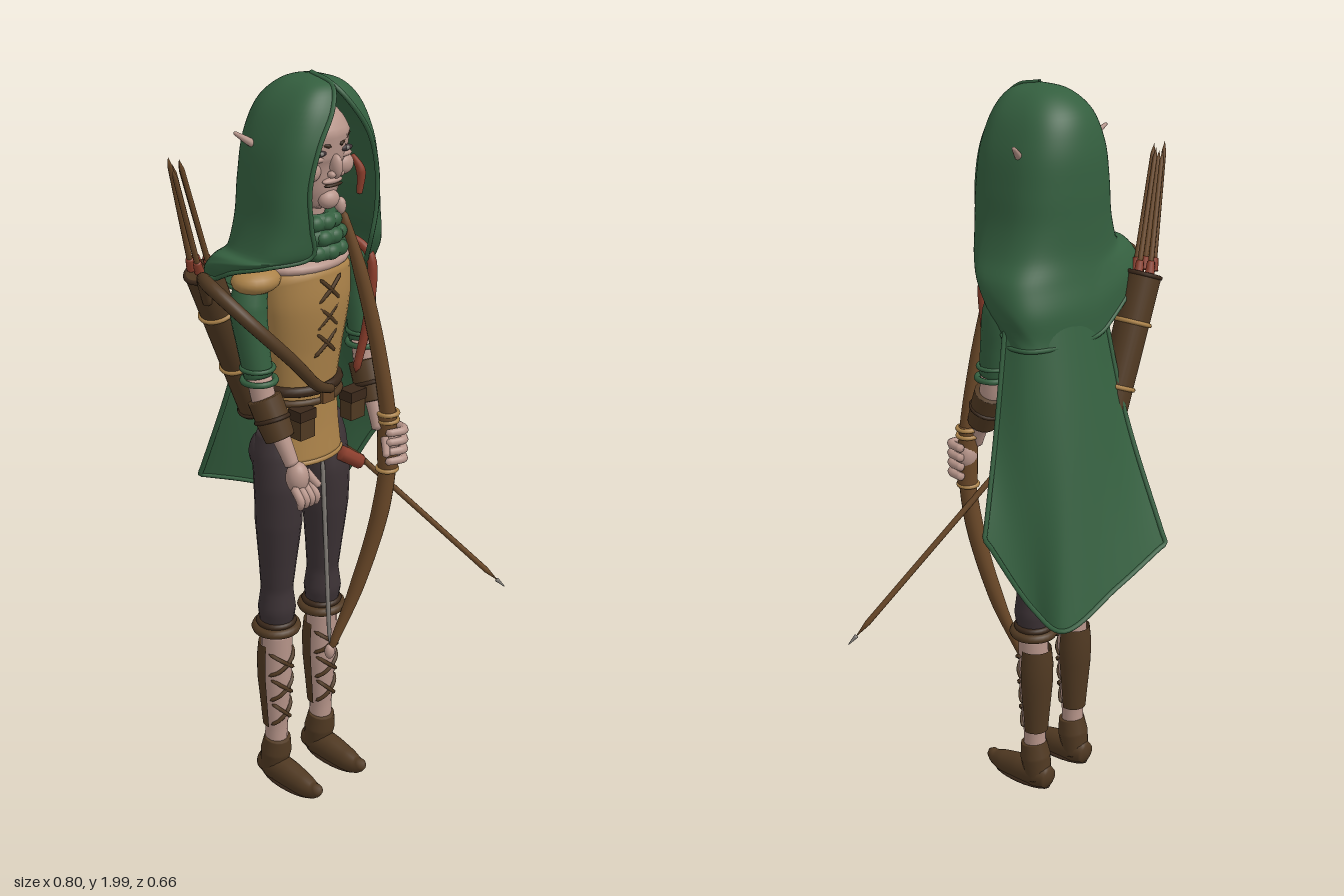
import * as THREE from 'three';
import { mergeVertices } from 'three/addons/utils/BufferGeometryUtils.js';

const CX = -0.09; // body centre line
const V = (p) => new THREE.Vector3(p[0], p[1], p[2]);
const mat = (name, color, side = THREE.FrontSide) => {
  const m = new THREE.MeshStandardMaterial({ color, side });
  m.name = name;
  return m;
};

export function createModel() {
  const root = new THREE.Group();
  root.name = 'hoodedArcher';
  const green = mat('cloakGreen', 0x345f3f, THREE.DoubleSide);
  const tan = mat('bodiceTan', 0xab8249);
  const brown = mat('leatherBrown', 0x503922, THREE.DoubleSide);
  const dark = mat('darkBrown', 0x3a281a);
  const skin = mat('skin', 0xb7958a);
  const pants = mat('trouserCharcoal', 0x3c3235);
  const red = mat('fletchingRed', 0x8a3d2b);
  const wood = mat('bowWood', 0x6a4828);
  const grey = mat('stringGrey', 0x85807a);

  const add = (name, geo, m) => {
    const mesh = new THREE.Mesh(geo, m);
    mesh.name = name;
    root.add(mesh);
    return mesh;
  };
  // tapered, closed tube through [x, y, z, radius] points, squashed by sx / sz
  const limb = (name, pts, m, { sx = 1, sz = 1, seg = 32, sides = 16 } = {}) => {
    const path = new THREE.CatmullRomCurve3(pts.map(V));
    const geo = new THREE.TubeGeometry(path, seg, 1, sides);
    const pos = geo.attributes.position, v = new THREE.Vector3();
    for (let i = 0; i <= seg; i++) {
      const c = path.getPointAt(i / seg);
      const t = path.getUtoTmapping(i / seg) * (pts.length - 1);
      const k = Math.min(Math.floor(t), pts.length - 2);
      const r = i === 0 || i === seg ? 0 : THREE.MathUtils.lerp(pts[k][3], pts[k + 1][3], t - k);
      for (let j = 0; j <= sides; j++) {
        const n = i * (sides + 1) + j;
        v.fromBufferAttribute(pos, n).sub(c).multiplyScalar(r);
        pos.setXYZ(n, c.x + v.x * sx, c.y + v.y, c.z + v.z * sz);
      }
    }
    geo.deleteAttribute('uv');
    geo.deleteAttribute('normal');
    const out = mergeVertices(geo, 1e-5);
    out.computeVertexNormals();
    return add(name, out, m);
  };
  const rod = (name, a, b, r, m, r2 = r) => limb(name, [[...a, r], [...b, r2]], m, { seg: 12, sides: 8 });
  const ball = (name, p, s, m) => {
    const mesh = add(name, new THREE.SphereGeometry(1, 20, 14), m);
    mesh.position.set(...p);
    mesh.scale.set(...s);
    return mesh;
  };
  const ring = (name, p, r, tube, m, sz = 1) => {
    const geo = new THREE.TorusGeometry(r, tube, 8, 28).rotateX(Math.PI / 2).scale(1, 1, sz);
    const mesh = add(name, geo, m);
    mesh.position.set(...p);
    return mesh;
  };
  // smooth cloth through rows of points, with a rolled hem on its open edges
  const cloth = (name, rows, nu, nv, hem) => {
    const cross = rows.map((r) => new THREE.CatmullRomCurve3(r.map(V)));
    const pos = [], idx = [], grid = [];
    for (let i = 0; i <= nu; i++) {
      const col = new THREE.CatmullRomCurve3(cross.map((c) => c.getPoint(i / nu)));
      grid.push(col.getPoints(nv));
      grid[i].forEach((p) => pos.push(p.x, p.y, p.z));
    }
    for (let i = 0; i < nu; i++) for (let j = 0; j < nv; j++) {
      const a = i * (nv + 1) + j, b = a + nv + 1;
      idx.push(a, a + 1, b, b, a + 1, b + 1);
    }
    const geo = new THREE.BufferGeometry();
    geo.setAttribute('position', new THREE.Float32BufferAttribute(pos, 3));
    geo.setIndex(idx);
    geo.computeVertexNormals();
    add(name, geo, green);
    const edge = [...grid[0], ...grid.slice(1, -1).map((c) => c[nv]), ...grid[nu].slice().reverse()];
    add(name + 'Hem', new THREE.TubeGeometry(new THREE.CatmullRomCurve3(edge), 160, hem, 6), green);
  };

  // hood: [y, half width, front z, back z, opening angle on the left, on the right]
  const hoodRows = [[1.985, 0.002, 0.062, 0.058, 0.02, 0.02], [1.967, 0.062, 0.135, -0.015, 0.03, 0.03],
    [1.92, 0.11, 0.17, -0.07, 0.3, 0.3], [1.84, 0.146, 0.192, -0.098, 0.62, 0.62], [1.74, 0.166, 0.198, -0.105, 0.75, 0.75],
    [1.65, 0.178, 0.194, -0.105, 0.66, 0.66], [1.58, 0.2, 0.18, -0.107, 0.52, 0.52], [1.52, 0.232, 0.142, -0.118, 0.58, 0.95],
    [1.45, 0.24, 0.09, -0.136, 0.88, 1.3], [1.37, 0.23, 0.03, -0.14, 1.35, 1.5]];
  cloth('hood', hoodRows.map(([y, a, zf, zb, openL, openR], k) => {
    const row = [], zc = (zf + zb) / 2;
    for (let i = 0; i <= 24; i++) {
      const t = THREE.MathUtils.lerp(openL, 2 * Math.PI - openR, i / 24), c = Math.cos(t), s = Math.sin(t);
      const lift = Math.max(0, k - 6) * 0.045 * Math.max(0, -s);
      row.push([CX + a * s, y + lift, zc + (zf - zc) * Math.sign(c) * Math.abs(c) ** (c > 0 ? 0.55 : 0.75)]);
    }
    return row;
  }), 60, 48, 0.006);

  // cape swept to one side
  cloth('cape', [
    [[-0.13, 1.41, -0.12], [-0.02, 1.43, -0.13], [0.07, 1.43, -0.11], [0.12, 1.43, -0.06], [0.13, 1.43, -0.01]],
    [[-0.135, 1.15, -0.19], [-0.02, 1.13, -0.205], [0.1, 1.12, -0.18], [0.165, 1.12, -0.12], [0.2, 1.15, -0.035]],
    [[-0.14, 0.82, -0.325], [0.03, 0.75, -0.3], [0.195, 0.67, -0.25], [0.21, 0.71, -0.17], [0.285, 0.91, -0.07]],
  ], 32, 28, 0.007);

  // head, neck and upper chest
  limb('head', [[CX, 1.66, 0.095, 0.025], [CX, 1.70, 0.08, 0.055], [CX, 1.77, 0.055, 0.092], [CX, 1.84, 0.045, 0.105],
    [CX, 1.89, 0.04, 0.085], [CX, 1.925, 0.045, 0.04]], skin);
  limb('neck', [[CX, 1.5, 0.03, 0.05], [CX, 1.72, 0.05, 0.045]], skin);
  ball('upperChest', [CX, 1.52, 0.04], [0.13, 0.03, 0.085], skin);
  ball('nose', [CX, 1.775, 0.147], [0.014, 0.03, 0.018], skin);
  ball('chin', [CX, 1.69, 0.122], [0.03, 0.024, 0.022], skin);
  ball('mouth', [CX, 1.728, 0.138], [0.03, 0.005, 0.008], dark);
  ball('upperLip', [CX, 1.738, 0.134], [0.032, 0.008, 0.012], skin);
  for (const s of [-1, 1]) {
    ball('cheek', [CX + s * 0.055, 1.765, 0.115], [0.03, 0.026, 0.022], skin);
    ball('nostril', [CX + s * 0.014, 1.757, 0.146], [0.01, 0.009, 0.011], skin);
    ball('eye', [CX + s * 0.043, 1.81, 0.136], [0.022, 0.008, 0.008], pants);
    ball('eyeGlint', [CX + s * 0.043, 1.811, 0.142], [0.006, 0.005, 0.004], grey);
    ball('eyelid', [CX + s * 0.043, 1.795, 0.13], [0.025, 0.008, 0.01], skin);
    rod('eyebrow', [CX + s * 0.014, 1.824, 0.146], [CX + s * 0.075, 1.842, 0.118], 0.006, dark, 0.003);
    limb('ear', [[CX + s * 0.09, 1.79, 0.04, 0.012], [CX + s * 0.155, 1.84, 0.005, 0.009], [CX + s * 0.185, 1.862, -0.008, 0.004]],
      skin, { sides: 10 });
  }
  limb('redLock', [[0.0, 1.78, 0.11, 0.006], [0.016, 1.74, 0.125, 0.012], [0.012, 1.68, 0.125, 0.007]], red);
  // bunched scarf
  for (const [y, r] of [[1.56, 0.07], [1.595, 0.064], [1.63, 0.054]]) {
    ring('scarfRoll', [CX, y, 0.055], r, 0.022, green);
    for (let i = -2; i <= 2; i++) {
      const a = i * 0.5 + (y === 1.595 ? 0.25 : 0);
      ball('scarfFold', [CX + Math.sin(a) * (r + 0.008), y, 0.055 + Math.cos(a) * (r + 0.008)], [0.024, 0.02, 0.018], green);
    }
  }

  // bodice, belt and pouches
  limb('bodice', [[CX, 0.985, 0.032, 0.115], [CX, 1.08, 0.03, 0.106], [CX, 1.19, 0.03, 0.1], [CX, 1.3, 0.035, 0.114],
    [CX, 1.42, 0.04, 0.132], [CX, 1.49, 0.03, 0.14], [CX, 1.53, 0.025, 0.09]], tan, { sz: 0.68, seg: 48, sides: 28 });
  ring('bodiceHem', [CX, 0.998, 0.032], 0.112, 0.007, tan, 0.68);
  ring('belt', [CX, 1.195, 0.03], 0.103, 0.014, dark, 0.75);
  ring('lowerBelt', [CX, 1.165, 0.03], 0.107, 0.01, brown, 0.75);
  add('beltBuckle', new THREE.BoxGeometry(0.04, 0.04, 0.012), wood).position.set(CX, 1.18, 0.118);
  for (const x of [-0.165, 0.015]) {
    add('pouch', new THREE.BoxGeometry(0.05, 0.065, 0.04), brown).position.set(x, 1.115, 0.105);
    add('pouchFlap', new THREE.BoxGeometry(0.055, 0.028, 0.045), dark).position.set(x, 1.147, 0.105);
  }
  for (let i = 0; i < 3; i++) for (const s of [-1, 1]) {
    const y = 1.285 + i * 0.072, z = 0.113 + i * 0.007;
    limb('bodiceLace', [[CX - s * 0.037, y, z - 0.004, 0.005], [CX, y + 0.034, z + 0.005, 0.005],
      [CX + s * 0.037, y + 0.068, z + 0.002, 0.005]], brown, { seg: 10, sides: 6 });
  }
  limb('redStrap', [[0.025, 1.2, 0.105, 0.01], [0.053, 1.38, 0.125, 0.013], [0.058, 1.52, 0.115, 0.012], [0.03, 1.56, 0.02, 0.009],
    [0.04, 1.5, -0.09, 0.009]], red);

  // legs, lacing, shin guards and shoes
  const guardProfile = [[0.036, 0.19], [0.041, 0.25], [0.049, 0.34], [0.05, 0.4], [0.045, 0.45]].map((p) => new THREE.Vector2(...p));
  for (const x of [-0.175, -0.005]) {
    const s = Math.sign(x - CX);
    limb('trouserLeg', [[x, 0.5, 0.012, 0.043], [x, 0.56, 0.015, 0.051], [x, 0.62, 0.016, 0.043], [x, 0.7, 0.02, 0.05],
      [x, 0.82, 0.025, 0.062], [x, 0.93, 0.026, 0.065], [x + s * 0.004, 1.02, 0.016, 0.058], [x + s * 0.004, 1.09, 0.016, 0.04]], pants, { seg: 48 });
    ball('seat', [x + s * 0.002, 1.015, -0.005], [0.056, 0.062, 0.05], pants);
    ring('kneeCuff', [x, 0.5, 0.012], 0.054, 0.013, brown);
    ring('kneeCuffTop', [x, 0.518, 0.012], 0.046, 0.009, dark);
    limb('calf', [[x, 0.08, 0.005, 0.032], [x, 0.18, 0.008, 0.031], [x, 0.34, 0.01, 0.042], [x, 0.5, 0.014, 0.042]], skin);
    const guard = new THREE.LatheGeometry(guardProfile, 20, Math.PI * 0.42, Math.PI * 1.16);
    add('shinGuard', guard, brown).position.set(x, 0, 0.006);
    for (let i = 0; i < 3; i++) for (const d of [-1, 1]) {
      const y = 0.2 + i * 0.08, r = 0.033 + i * 0.004;
      limb('shinLace', [[x - d * r, y, 0.022, 0.006], [x - d * r * 0.6, y + 0.015, 0.01 + r * 0.9, 0.006], [x, y + 0.035, 0.012 + r * 1.08, 0.006],
        [x + d * r * 0.6, y + 0.055, 0.012 + r * 0.95, 0.006], [x + d * r, y + 0.07, 0.024, 0.006]], brown, { seg: 14, sides: 6 });
    }
    limb('ankleBoot', [[x, 0.03, -0.008, 0.036], [x, 0.1, 0.005, 0.043], [x, 0.15, 0.012, 0.036]], brown);
    limb('shoe', [[x, 0.04, -0.052, 0.028], [x, 0.045, -0.01, 0.042], [x, 0.04, 0.06, 0.04], [x, 0.034, 0.12, 0.034],
      [x, 0.036, 0.155, 0.024], [x, 0.052, 0.18, 0.012]], brown, { sx: 0.9 });
    ball('sole', [x, 0.012, 0.055], [0.034, 0.012, 0.1], dark);
  }
  ball('pelvis', [CX, 0.995, 0.02], [0.09, 0.045, 0.055], pants);

  // arms and hands
  ball('shoulderCap', [CX - 0.165, 1.505, 0.04], [0.066, 0.033, 0.055], tan);
  for (const s of [-1, 1]) {
    const X = (d) => CX + s * d;
    limb('sleeve', [[X(0.165), 1.51, 0.03, 0.04], [X(0.186), 1.44, 0.035, 0.047], [X(0.187), 1.35, 0.05, 0.041],
      [X(0.183), 1.26, 0.065, 0.036]], green);
    ring('sleeveCuff', [X(0.183), 1.258, 0.066], 0.041, 0.008, green);
    ring('sleeveBand', [X(0.184), 1.29, 0.062], 0.04, 0.006, green);
    limb('forearm', [[X(0.183), 1.27, 0.065, 0.031], [X(0.178), 1.2, 0.08, 0.031], [X(0.163), 1.1, 0.13, 0.022],
      [X(0.155), 1.04, 0.155, 0.018]], skin);
    limb('bracer', [[X(0.178), 1.215, 0.076, 0.044], [X(0.172), 1.16, 0.1, 0.043], [X(0.166), 1.11, 0.122, 0.038]], brown);
    ring('bracerBand', [X(0.172), 1.16, 0.1], 0.041, 0.006, dark).rotation.x = -0.4;
    const hx = s < 0 ? -0.24 : 0.09;
    ball('palm', [hx, 1.015, 0.165], [0.03, 0.042, 0.03], skin);
    for (let i = 0; i < 4; i++) {
      if (s < 0) limb('finger', [[hx - 0.024 + i * 0.017, 1.0, 0.175, 0.011], [hx - 0.022 + i * 0.018, 0.965, 0.2, 0.011],
        [hx - 0.015 + i * 0.017, 0.94, 0.19, 0.008]], skin, { seg: 12, sides: 8 });
      else limb('grippingFinger', [[hx + 0.035, 1.045 - i * 0.027, 0.145, 0.011], [hx + 0.02, 1.045 - i * 0.027, 0.2, 0.012],
        [hx - 0.035, 1.045 - i * 0.027, 0.185, 0.01]], skin, { seg: 14, sides: 8 });
    }
    rod('thumb', [hx - s * 0.02, 1.03, 0.17], [hx - s * 0.045, 0.985, 0.2], 0.013, skin, 0.009);
  }

  // bow, grip, string and held arrow
  limb('bow', [[-0.025, 1.65, 0.1, 0.01], [0.015, 1.48, 0.13, 0.018], [0.06, 1.25, 0.155, 0.02], [0.09, 1.02, 0.165, 0.022],
    [0.08, 0.82, 0.152, 0.024], [0.035, 0.58, 0.11, 0.02], [-0.03, 0.38, 0.07, 0.01]], wood, { seg: 60 });
  limb('bowGrip', [[0.082, 1.1, 0.163, 0.026], [0.09, 0.92, 0.163, 0.027]], wood);
  for (const y of [0.93, 1.07, 1.09]) ring('gripBinding', [0.087, y, 0.163], 0.026, 0.006, tan);
  ball('upperBowTip', [-0.027, 1.655, 0.1], [0.014, 0.022, 0.014], skin);
  ball('lowerBowTip', [-0.031, 0.38, 0.07], [0.014, 0.022, 0.014], skin);
  rod('bowString', [-0.03, 0.39, 0.07], [-0.06, 1.0, 0.07], 0.006, grey);
  rod('arrowShaft', [0.01, 1.0, 0.085], [0.385, 0.535, 0.313], 0.008, wood);
  rod('arrowPoint', [0.38, 0.541, 0.31], [0.4, 0.515, 0.325], 0.008, grey, 0.001);
  rod('arrowFletching', [-0.015, 0.985, 0.085], [0.05, 0.94, 0.11], 0.02, red);

  // quiver with spare arrows
  const qa = [-0.095, 1.06, -0.145], qb = [-0.272, 1.49, -0.138];
  const axis = V(qb).sub(V(qa)), q = new THREE.Quaternion().setFromUnitVectors(new THREE.Vector3(0, 1, 0), axis.clone().normalize());
  const along = (t) => V(qa).addScaledVector(axis, t);
  const quiver = add('quiver', new THREE.CylinderGeometry(0.047, 0.043, axis.length(), 24), brown);
  quiver.position.copy(along(0.5));
  quiver.quaternion.copy(q);
  for (const [t, r, m] of [[0.02, 0.042, dark], [0.35, 0.045, tan], [0.72, 0.047, tan], [0.99, 0.045, dark]]) {
    const band = ring('quiverBand', along(t).toArray(), r, 0.006, m);
    band.quaternion.copy(q);
  }
  for (let i = 0; i < 5; i++) {
    const a = i * 1.257, p = [qb[0] + 0.025 * Math.cos(a), qb[1], qb[2] + 0.025 * Math.sin(a)];
    const tip = [-0.385 + 0.014 * Math.cos(a), 1.795 + 0.014 * Math.sin(a * 2), -0.095 + 0.014 * Math.sin(a)];
    rod('spareArrow', p, tip, 0.008, wood, 0.006);
    rod('spareFletching', p, V(p).lerp(V(tip), 0.12).toArray(), 0.014, red, 0.01);
  }
  // strap looping over the shoulder down to the belt
  limb('shoulderStrap', [[-0.27, 1.4, -0.12, 0.012], [-0.32, 1.49, -0.08, 0.016], [-0.375, 1.51, 0.01, 0.018], [-0.345, 1.44, 0.11, 0.017],
    [-0.24, 1.32, 0.155, 0.016], [-0.15, 1.23, 0.145, 0.015], [-0.07, 1.19, 0.12, 0.011]], brown, { seg: 48 });
  return root;
}
